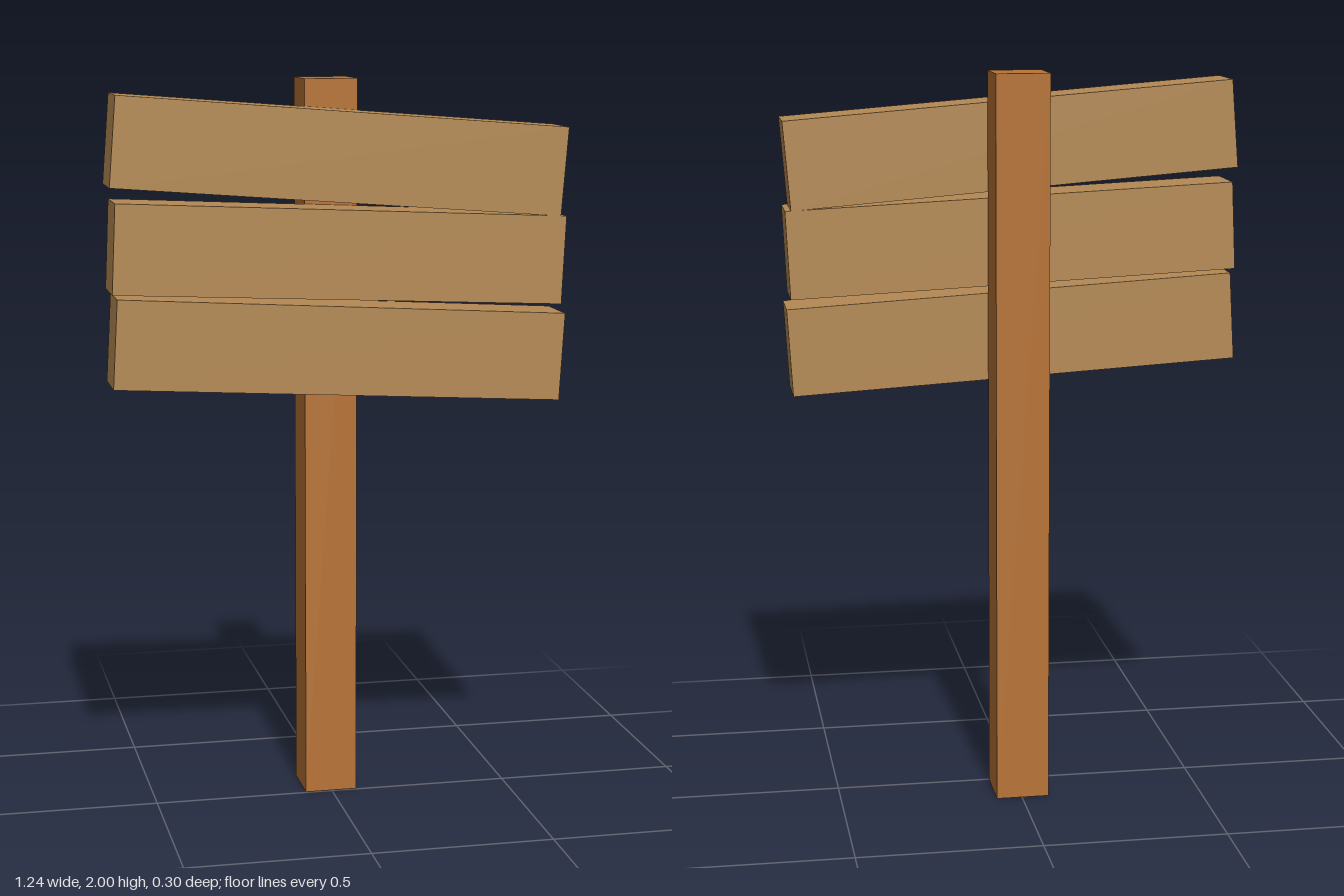
import * as THREE from 'three';

export function createModel() {
  const model = new THREE.Group();
  model.name = 'woodenSign';

  const postWood = new THREE.MeshStandardMaterial({ color: 0xb87436 });
  const plankWood = new THREE.MeshStandardMaterial({ color: 0xb58a54 });

  // Square post standing behind the planks
  const post = new THREE.Mesh(new THREE.BoxGeometry(0.145, 2, 0.145), postWood);
  post.name = 'post';
  post.position.set(-0.002, 1, -0.0775);
  model.add(post);

  // Three equal planks, each nailed on at its own slight tilt
  const plankGeometry = new THREE.BoxGeometry(1.223, 0.239, 0.153);
  const planks = [
    { name: 'topPlank', y: 1.801, tilt: -0.0786 },
    { name: 'middlePlank', y: 1.5425, tilt: -0.0458 },
    { name: 'bottomPlank', y: 1.285, tilt: -0.0573 },
  ];
  for (const { name, y, tilt } of planks) {
    const plank = new THREE.Mesh(plankGeometry, plankWood);
    plank.name = name;
    plank.position.set(-0.001, y, 0.0735);
    plank.rotation.z = tilt;
    model.add(plank);
  }

  return model;
}
